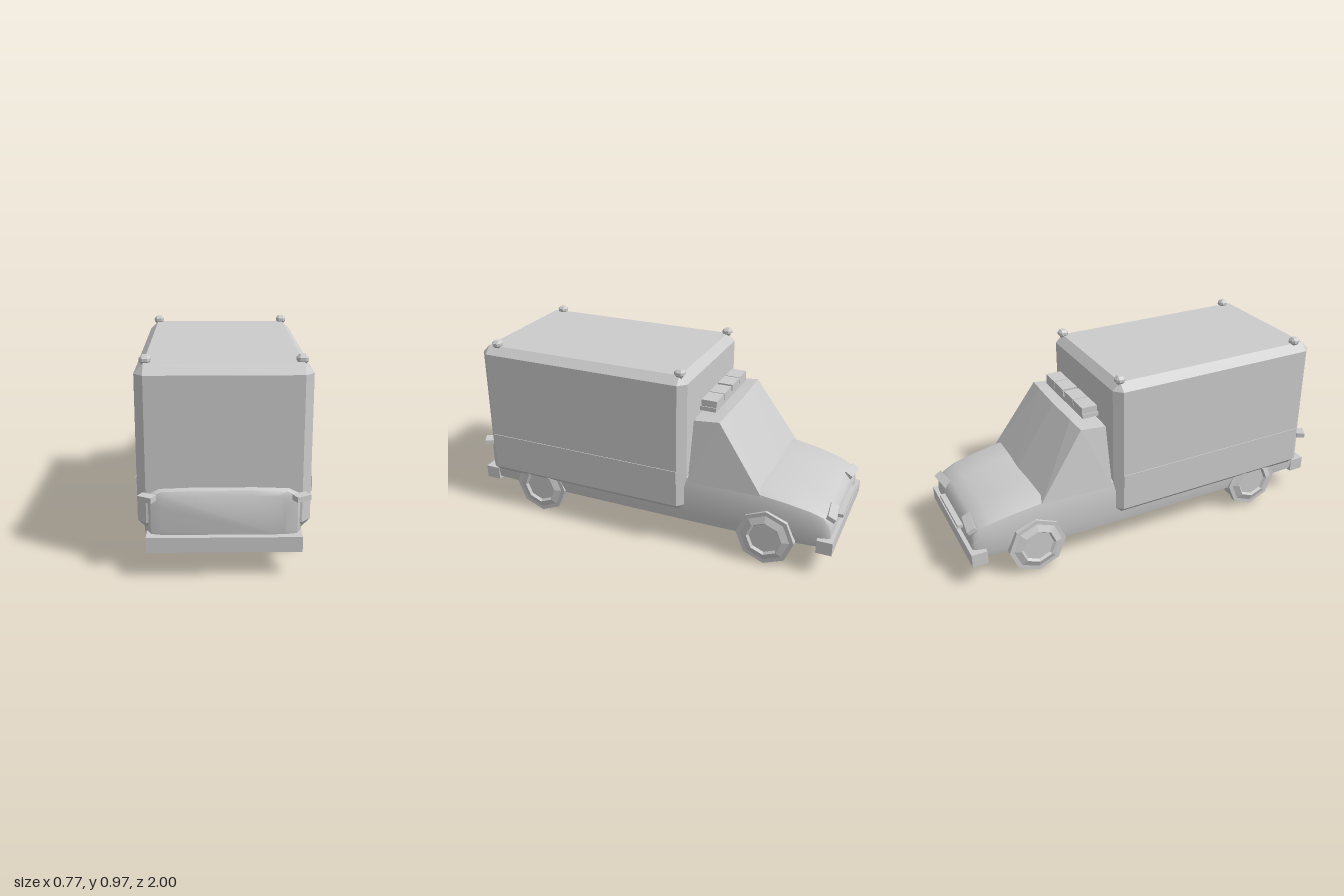
import * as THREE from 'three';
import { toCreasedNormals } from 'three/addons/utils/BufferGeometryUtils.js';
import { ConvexGeometry } from 'three/addons/geometries/ConvexGeometry.js';

const smooth = new THREE.MeshStandardMaterial({ color: 0xcccccc });
const flat = new THREE.MeshStandardMaterial({ color: 0xcccccc, flatShading: true });

function add(parent, name, geometry, x = 0, y = 0, z = 0, material = flat) {
  const mesh = new THREE.Mesh(geometry, material);
  mesh.name = name;
  mesh.position.set(x, y, z);
  parent.add(mesh);
  return mesh;
}

const box = (w, h, d) => new THREE.BoxGeometry(w, h, d);

// Box with every edge cut at 45 degrees
function chamferedBox(w, h, d, c) {
  const points = [];
  for (const sx of [-1, 1]) for (const sy of [-1, 1]) for (const sz of [-1, 1]) {
    for (let k = 0; k < 3; k++) {
      points.push(new THREE.Vector3(
        sx * (w / 2 - (k === 0 ? 0 : c)),
        sy * (h / 2 - (k === 1 ? 0 : c)),
        sz * (d / 2 - (k === 2 ? 0 : c))));
    }
  }
  return new ConvexGeometry(points);
}

// Lower body lofted from rear to nose; each station is [z, halfWidth, bottom, top]
function bodyGeometry() {
  const stations = [
    [0.97, 0.27, 0.17, 0.365], [0.958, 0.32, 0.15, 0.385], [0.92, 0.338, 0.13, 0.395],
    [0.6, 0.35, 0.13, 0.4], [-0.24, 0.35, 0.13, 0.408], [-0.45, 0.348, 0.13, 0.402],
    [-0.61, 0.342, 0.13, 0.392], [-0.75, 0.333, 0.13, 0.368], [-0.87, 0.322, 0.13, 0.338],
    [-0.93, 0.312, 0.13, 0.31], [-0.96, 0.303, 0.13, 0.28], [-0.97, 0.295, 0.14, 0.245],
  ];
  const ring = ([z, w, b, t]) => {
    const h = t - b;
    const half = [[0.97 * w, b], [w, b + 0.2 * h], [w, b + 0.72 * h],
      [0.97 * w, b + 0.9 * h], [0.85 * w, b + 0.98 * h], [0.4 * w, t]];
    return [...half, ...half.map(([x, y]) => [-x, y]).reverse()].map(([x, y]) => [x, y, z]);
  };
  const rings = stations.map(ring);
  const n = rings[0].length;
  const positions = rings.flat(2);
  const index = [];
  for (let i = 0; i < rings.length - 1; i++) for (let j = 0; j < n; j++) {
    const a = i * n + j, b = i * n + (j + 1) % n;
    index.push(a, a + n, b, b, a + n, b + n);
  }
  const last = (rings.length - 1) * n;
  for (let j = 1; j < n - 1; j++) {
    index.push(0, j, j + 1, last, last + j + 1, last + j);
  }
  const geometry = new THREE.BufferGeometry();
  geometry.setAttribute('position', new THREE.Float32BufferAttribute(positions, 3));
  geometry.setIndex(index);
  return toCreasedNormals(geometry, 0.75);
}

// Cab glasshouse with raked windscreen and slightly crowned roof
function cabGeometry() {
  const points = [[0, 0.36, -0.635], [0, 0.712, -0.4], [0, 0.7, -0.25]];
  for (const s of [-1, 1]) {
    points.push([s * 0.335, 0.36, -0.62], [s * 0.347, 0.36, -0.24],
      [s * 0.305, 0.7, -0.385], [s * 0.305, 0.688, -0.252], [s * 0.2, 0.71, -0.395]);
  }
  return new ConvexGeometry(points.map((p) => new THREE.Vector3(...p)));
}

// Eight-sided tyre with tapered shoulders and a dished hub on the +x face
function wheelGeometry() {
  const profile = [[0, -0.07], [0.095, -0.07], [0.14, -0.051], [0.14, 0.051],
    [0.092, 0.07], [0.082, 0.057], [0, 0.057]].map(([r, h]) => new THREE.Vector2(r, h));
  return new THREE.LatheGeometry(profile, 8).rotateZ(-Math.PI / 2);
}

export function createModel() {
  const model = new THREE.Group();
  model.name = 'boxVan';

  add(model, 'lowerBody', bodyGeometry(), 0, 0, 0, smooth);
  add(model, 'cab', cabGeometry());
  add(model, 'cargoBox', chamferedBox(0.762, 0.742, 1.165, 0.04), 0, 0.557, 0.352);

  // Bumpers and grille
  add(model, 'rearBumper', box(0.68, 0.07, 0.08), 0, 0.15, 0.96);
  add(model, 'frontBumper', box(0.68, 0.07, 0.08), 0, 0.15, -0.95);
  add(model, 'grille', box(0.31, 0.018, 0.04), 0, 0.237, -0.977);

  // Roof light bar: base strip and four lamps in two pairs
  add(model, 'lightBarBase', box(0.46, 0.022, 0.085), 0, 0.725, -0.297);
  for (const x of [-0.173, -0.062, 0.062, 0.173]) {
    add(model, 'lightBarLamp', box(0.105, 0.035, 0.08), x, 0.753, -0.3);
  }

  const wheel = wheelGeometry();
  const arch = new THREE.CylinderGeometry(0.15, 0.15, 0.03, 8).rotateZ(Math.PI / 2);
  const marker = chamferedBox(0.05, 0.04, 0.05, 0.013);

  for (const s of [-1, 1]) {
    const side = s > 0 ? 'left' : 'right';
    add(model, side + 'SideStripe', box(0.006, 0.07, 1.085), s * 0.382, 0.39, 0.352);

    // Wheels with arches
    for (const [end, z] of [['Rear', 0.635], ['Front', -0.655]]) {
      add(model, side + end + 'Wheel', wheel, s * 0.297, 0.14, z).rotation.y = s > 0 ? 0 : Math.PI;
      add(model, side + end + 'Arch', arch, s * 0.338, 0.14, z);
    }

    // Marker lamps on the box corners
    for (const z of [0.845, -0.19]) {
      add(model, side + 'MarkerLamp', marker, s * 0.335, 0.939, z);
      add(model, side + 'MarkerStem', box(0.025, 0.02, 0.025), s * 0.335, 0.922, z);
    }

    // Tail lamps and headlamps
    add(model, side + 'TailLamp', box(0.07, 0.025, 0.045), s * 0.334, 0.355, 0.962).rotation.y = s * 0.5;
    add(model, side + 'Headlamp', box(0.13, 0.022, 0.045), s * 0.225, 0.29, -0.955)
      .rotation.set(-0.5, s * 0.12, 0);
  }
  return model;
}
